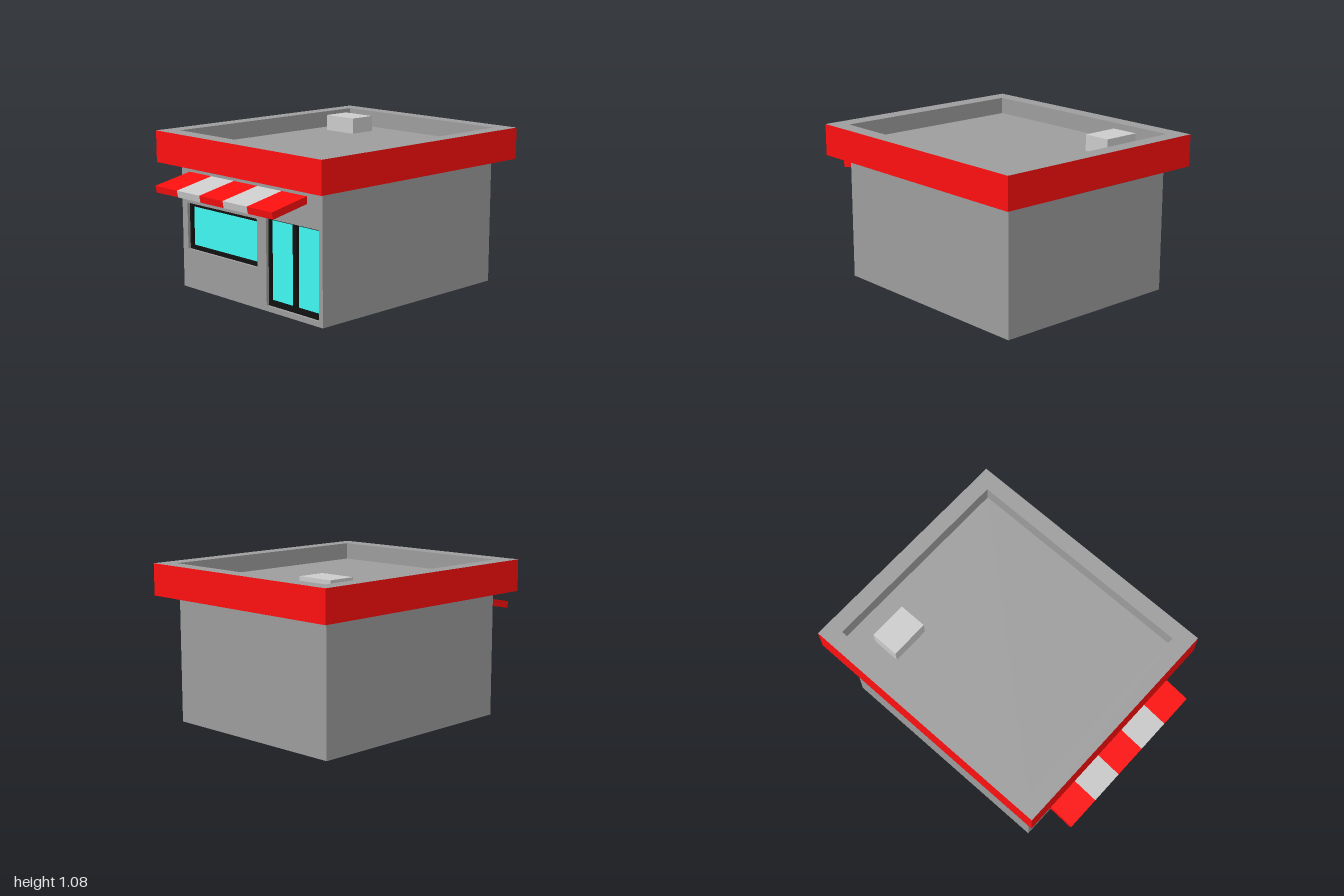
import * as THREE from 'three';

const mat = (color) => new THREE.MeshStandardMaterial({ color });

export function createModel() {
  const model = new THREE.Group();
  const wall = mat(0x9d9d9d), light = mat(0xcccccc), red = mat(0xff0f0f);
  const black = mat(0x101010), teal = mat(0x41f8f3);

  const add = (name, geometry, material) => {
    const mesh = new THREE.Mesh(geometry, material);
    mesh.name = name;
    model.add(mesh);
    return mesh;
  };
  // box given by its limits on each axis
  const box = (name, [x0, x1], [y0, y1], [z0, z1], material) =>
    add(name, new THREE.BoxGeometry(x1 - x0, y1 - y0, z1 - z0), material)
      .position.set((x0 + x1) / 2, (y0 + y1) / 2, (z0 + z1) / 2);

  // upright panel with rectangular openings; rectangles are [x0, x1, y0, y1]
  const corners = ([x0, x1, y0, y1]) =>
    [[x0, y0], [x1, y0], [x1, y1], [x0, y1]].map(([x, y]) => new THREE.Vector2(x, y));
  const panel = (name, rect, openings, z0, z1, material) => {
    const shape = new THREE.Shape(corners(rect));
    openings.forEach((o) => shape.holes.push(new THREE.Path(corners(o).reverse())));
    const geometry = new THREE.ExtrudeGeometry(shape, { depth: z1 - z0, bevelEnabled: false });
    add(name, geometry.translate(0, 0, z0), material);
  };

  // building body with recessed window and door openings in the front wall
  const W = 0.685, H = 0.86, FRONT = 0.715, BACK = -0.88;
  const windowRect = [-0.632, 0.08, 0.27, 0.59];
  const doorRect = [0.168, 0.652, 0.035, 0.61];
  box('body', [-W, W], [0, H], [BACK, FRONT - 0.06], wall);
  panel('frontWall', [-W, W, 0, H], [windowRect, doorRect], FRONT - 0.06, FRONT, wall);

  // frames, with the glass set further back
  const windowPanes = [[-0.61, 0.06, 0.295, 0.567]];
  const doorPanes = [[0.185, 0.395, 0.07, 0.6], [0.43, 0.633, 0.07, 0.6]];
  panel('windowFrame', windowRect, windowPanes, FRONT - 0.06, FRONT - 0.02, black);
  panel('doorFrame', doorRect, doorPanes, FRONT - 0.06, FRONT - 0.02, black);
  const glass = (name, [x0, x1, y0, y1]) =>
    box(name, [x0, x1], [y0, y1], [FRONT - 0.06, FRONT - 0.04], teal);
  windowPanes.forEach((p) => glass('windowGlass', p));
  doorPanes.forEach((p) => glass('doorGlass', p));

  // parapet: red outside, grey on the top, underside and inside
  const P = 0.8, I = 0.69, TOP = 1.075;
  const outward = (...faces) => [0, 1, 2, 3, 4, 5].map((i) => (faces.includes(i) ? red : wall));
  box('parapetFront', [-P, P], [H, TOP], [FRONT, 0.835], outward(0, 1, 4));
  box('parapetBack', [-P, P], [H, TOP], [-1, -0.89], outward(0, 1, 5));
  box('parapetLeft', [I, P], [H, TOP], [-0.89, FRONT], outward(0));
  box('parapetRight', [-P, -I], [H, TOP], [-0.89, FRONT], outward(1));

  // sunken roof deck and the unit standing on it
  box('roofDeck', [-I, I], [H, 0.96], [-0.89, FRONT], wall);
  box('roofUnit', [-0.57, -0.305], [0.96, 1.07], [-0.73, -0.535], light);

  // sloping awning in five stripes, extruded across from its side profile (z, y)
  const profile = new THREE.Shape(
    [[0.715, 0.757], [0.991, 0.702], [1, 0.748], [0.715, 0.805]].map(([z, y]) => new THREE.Vector2(z, y)));
  const stripe = 0.2296;
  for (let i = 0; i < 5; i++) {
    const geometry = new THREE.ExtrudeGeometry(profile, { depth: stripe, bevelEnabled: false });
    geometry.rotateY(-Math.PI / 2).translate(-0.6 + stripe * (i + 1), 0, 0);
    add('awningStripe' + (i + 1), geometry, i % 2 ? light : red);
  }
  return model;
}
